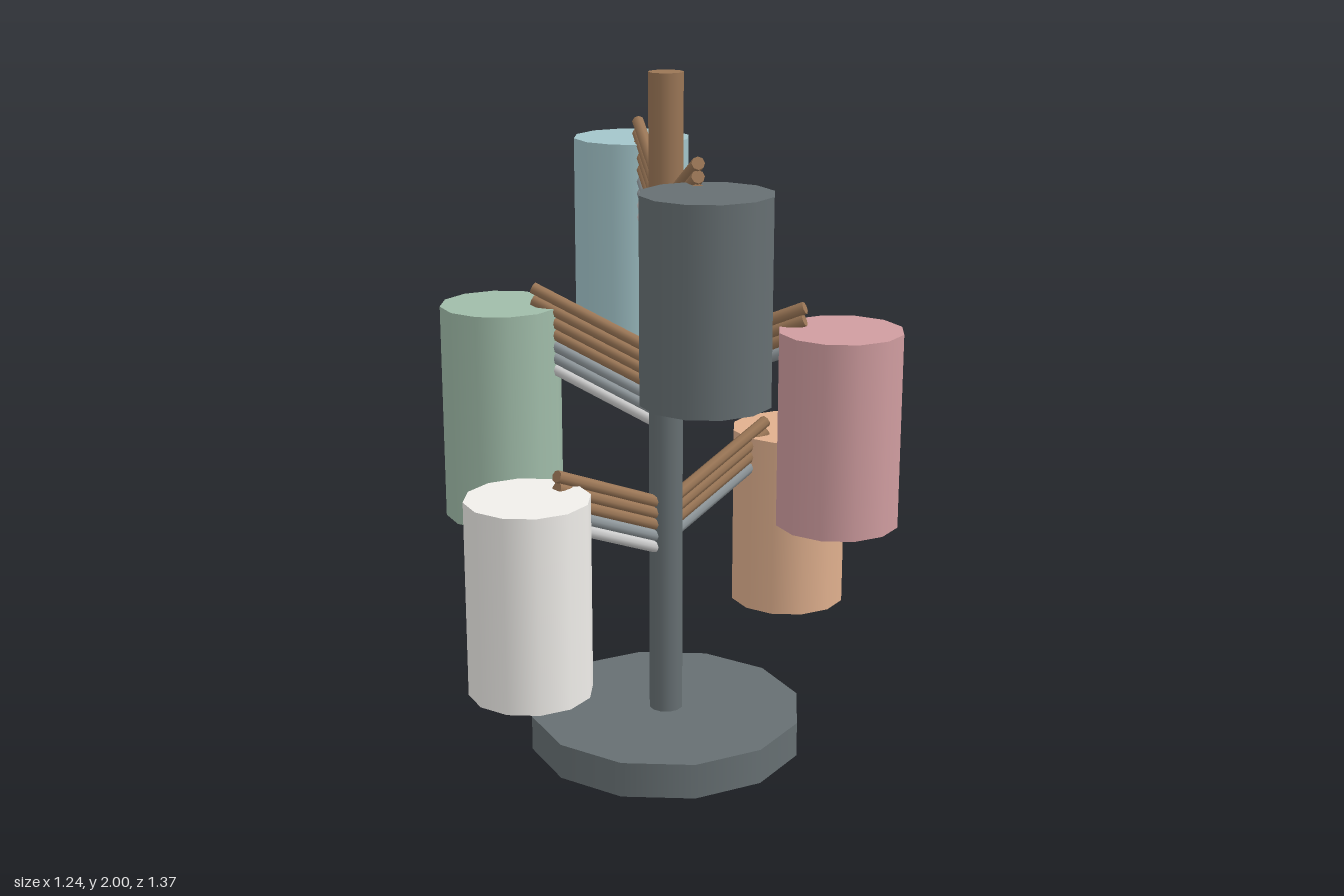
import * as THREE from 'three';

const mat = (color) => new THREE.MeshStandardMaterial({ color });
const WOOD = mat(0x9a7656), SLATE = mat(0x666f72), GREY = mat(0x8f979b), PALE = mat(0xdcdee0);

const POLE_R = 0.05, ROD_R = 0.018, ROD_REACH = 0.41, ROD_RISE = 0.175, ROD_STEP = 0.035;
const CUP_R = 0.177, CUP_DIST = 0.51;

// angle: degrees from the front towards +x; tip: height of the top rod's outer end
const BRANCHES = [
  { name: 'frontBranch', angle: 0, tip: 0.92, rods: 5, top: 0.88, bottom: 0.31, color: 0xf0eeea },
  { name: 'frontLeftBranch', angle: 60, tip: 1.81, rods: 3, top: 1.75, bottom: 1.2, color: 0x666f72 },
  { name: 'backLeftBranch', angle: 120, tip: 1.365, rods: 4, top: 1.31, bottom: 0.75, color: 0xd09da0 },
  { name: 'backBranch', angle: 180, tip: 0.92, rods: 4, top: 0.88, bottom: 0.33, color: 0xe0b08e },
  { name: 'backRightBranch', angle: 240, tip: 1.81, rods: 8, top: 1.75, bottom: 1.06, color: 0xa3c5ca },
  { name: 'frontRightBranch', angle: 300, tip: 1.365, rods: 7, top: 1.31, bottom: 0.67, color: 0xa0bca9 },
];

function cylinder(name, radius, bottom, top, material, sides = 12) {
  const mesh = new THREE.Mesh(new THREE.CylinderGeometry(radius, radius, top - bottom, sides), material);
  mesh.name = name;
  mesh.position.y = (top + bottom) / 2;
  return mesh;
}

// Straight rod sloping up from the pole axis to its outer tip
function rod(tipY) {
  const length = Math.hypot(ROD_REACH, ROD_RISE);
  const geo = new THREE.CylinderGeometry(ROD_R, ROD_R, length, 8);
  geo.rotateX(Math.atan2(ROD_REACH, ROD_RISE));
  geo.translate(0, tipY - ROD_RISE / 2, ROD_REACH / 2 - 0.004);
  return geo;
}

function branch({ name, angle, tip, rods, top, bottom, color }) {
  const group = new THREE.Group();
  group.name = name;

  // Stack of rods: wood on top, then grey, then pale
  const wood = Math.min(rods, rods > 5 ? 4 : 3);
  const grey = rods > 5 ? 2 : 1;
  for (let i = 0; i < rods; i++) {
    const material = i < wood ? WOOD : i < wood + grey ? GREY : PALE;
    const mesh = new THREE.Mesh(rod(tip - i * ROD_STEP), material);
    mesh.name = 'branchRod';
    group.add(mesh);
  }

  // Hanging cup at the end
  const cup = cylinder('cup', CUP_R, bottom, top, mat(color));
  cup.position.z = CUP_DIST;
  group.add(cup);

  group.rotation.y = THREE.MathUtils.degToRad(angle);
  return group;
}

export function createModel() {
  const model = new THREE.Group();
  model.name = 'cupTree';

  // Round foot and two-tone pole
  model.add(cylinder('base', 0.408, 0, 0.105, SLATE));
  model.add(cylinder('lowerPole', POLE_R, 0.1, 1.64, SLATE));
  model.add(cylinder('upperPole', POLE_R, 1.64, 2, WOOD));

  // Six branches, each carrying a cup
  for (const b of BRANCHES) model.add(branch(b));
  return model;
}
